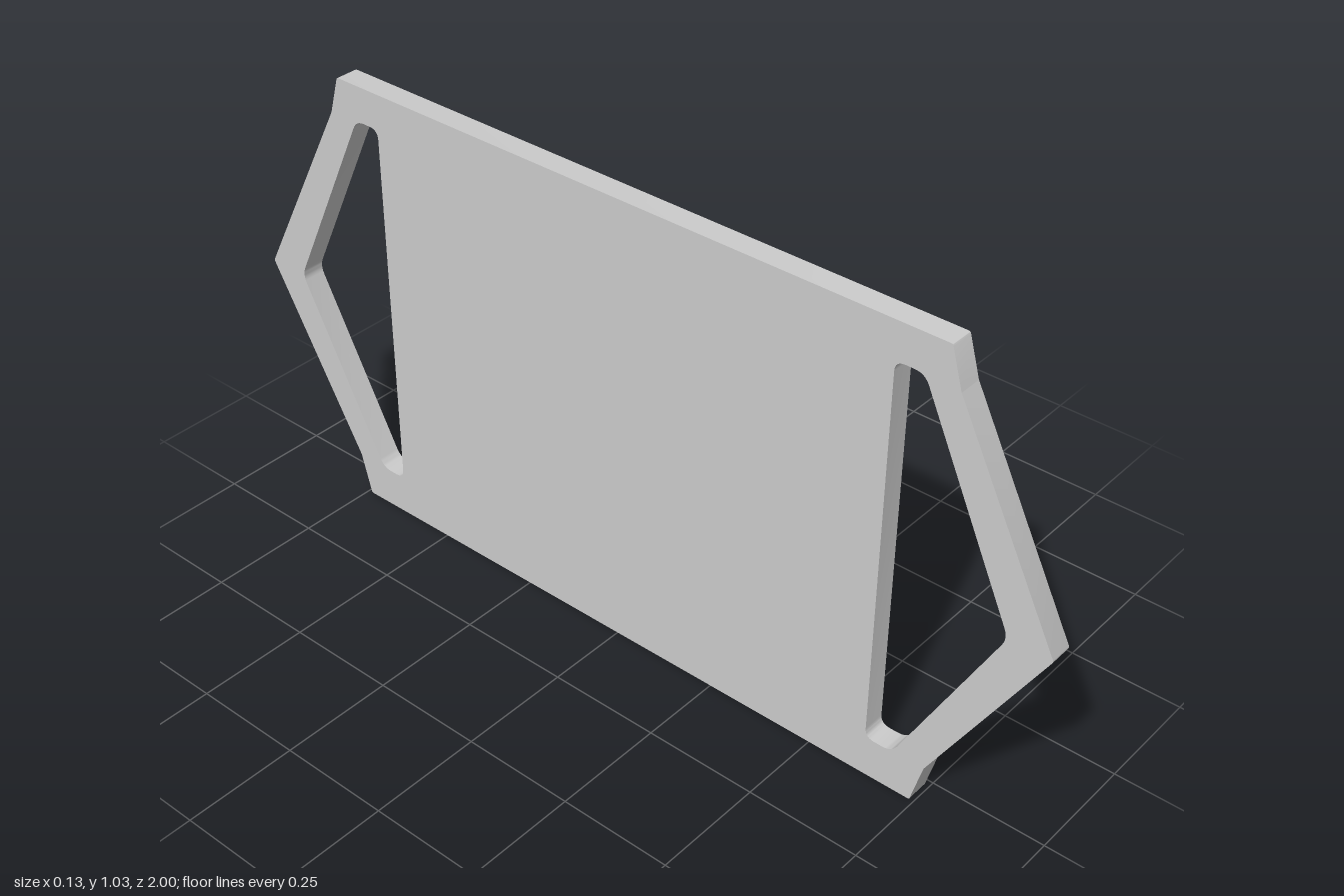
import * as THREE from 'three';
import { toCreasedNormals } from 'three/addons/utils/BufferGeometryUtils.js';

const material = new THREE.MeshStandardMaterial({ color: 0xcccccc });
const vec = ([x, y]) => new THREE.Vector2(x, y);

// Traces a closed polygon with softly rounded corners.
function rounded(path, points, radius) {
  const p = points.map(vec);
  p.forEach((corner, i) => {
    const prev = p[(i + p.length - 1) % p.length];
    const next = p[(i + 1) % p.length];
    const a = corner.clone().add(prev.clone().sub(corner).setLength(radius));
    const b = corner.clone().add(next.clone().sub(corner).setLength(radius));
    if (i === 0) path.moveTo(a.x, a.y);
    else path.lineTo(a.x, a.y);
    path.quadraticCurveTo(corner.x, corner.y, b.x, b.y);
  });
  path.closePath();
  return path;
}

// Joins smooth curves; each run starts at the sharp corner that ended the last.
function curved(path, runs) {
  path.moveTo(...runs[0][0]);
  runs.forEach((run) => path.splineThru(run.slice(1).map(vec)));
  return path;
}

// Extrudes a side profile (drawn in -z, y) between two x positions.
function slab(name, shape, x0, x1) {
  const geometry = new THREE.ExtrudeGeometry(shape, {
    depth: x1 - x0, bevelEnabled: false, curveSegments: 6,
  });
  geometry.rotateY(Math.PI / 2).translate(x0, 0, 0);
  const mesh = new THREE.Mesh(toCreasedNormals(geometry, 0.5), material);
  mesh.name = name;
  return mesh;
}

export function createModel() {
  const group = new THREE.Group();
  group.name = 'buckle';

  // Plate with pointed ends and a strap slot in each
  const plate = rounded(new THREE.Shape(), [
    [-0.74, 0], [0.74, 0], [0.765, 0.095], [1, 0.51], [0.765, 0.95],
    [0.74, 1.035], [-0.74, 1.035], [-0.765, 0.95], [-1, 0.495], [-0.765, 0.095],
  ], 0.004);
  for (const s of [-1, 1]) {
    const tipY = s < 0 ? 0.495 : 0.51;
    plate.holes.push(rounded(new THREE.Path(), [
      [s * 0.63, 0.093], [s * 0.63, 0.955], [s * 0.692, 0.955],
      [s * 0.907, tipY], [s * 0.692, 0.093],
    ], 0.022));
  }
  group.add(slab('plate', plate, -0.066, -0.015));

  // Raised shield-shaped rim
  const outline = [
    [[-0.167, 0.735], [-0.076, 0.777], [0, 0.797], [0.1, 0.788], [0.213, 0.772]],
    [[0.213, 0.772], [0.213, 0.585], [0.18, 0.466], [0.106, 0.343]],
    [[0.106, 0.343], [-0.007, 0.327], [-0.13, 0.343]],
    [[-0.13, 0.343], [-0.178, 0.46], [-0.205, 0.594], [-0.167, 0.735]],
  ];
  const opening = [
    [[-0.119, 0.37], [-0.162, 0.46], [-0.178, 0.61], [-0.162, 0.675], [-0.12, 0.728],
      [-0.066, 0.755], [0.02, 0.771], [0.116, 0.766], [0.15, 0.75], [0.165, 0.7],
      [0.155, 0.584], [0.148, 0.487], [0.095, 0.364]],
    [[0.095, 0.364], [-0.017, 0.357], [-0.119, 0.37]],
  ];
  const rim = curved(new THREE.Shape(), outline);
  rim.holes.push(curved(new THREE.Path(), opening));
  group.add(slab('rim', rim, -0.015, 0.064));

  // Recessed floor inside the rim
  group.add(slab('recessFloor', curved(new THREE.Shape(), opening), -0.015, 0.015));

  // Small nose-like stud, its tip leaning downward
  const profile = [[0.034, 0], [0.031, 0.012], [0.022, 0.03], [0.014, 0.044], [0.008, 0.051], [0, 0.052]];
  const stud = new THREE.LatheGeometry(profile.map(vec), 20);
  stud.rotateZ(-Math.PI / 2);
  const pos = stud.attributes.position;
  for (let i = 0; i < pos.count; i++) {
    const lean = pos.getX(i) / 0.052;
    pos.setY(i, pos.getY(i) * 1.5 - 0.012 * lean);
  }
  stud.translate(0.014, 0.532, 0.031);
  stud.computeVertexNormals();
  const studMesh = new THREE.Mesh(stud, material);
  studMesh.name = 'stud';
  group.add(studMesh);

  return group;
}
